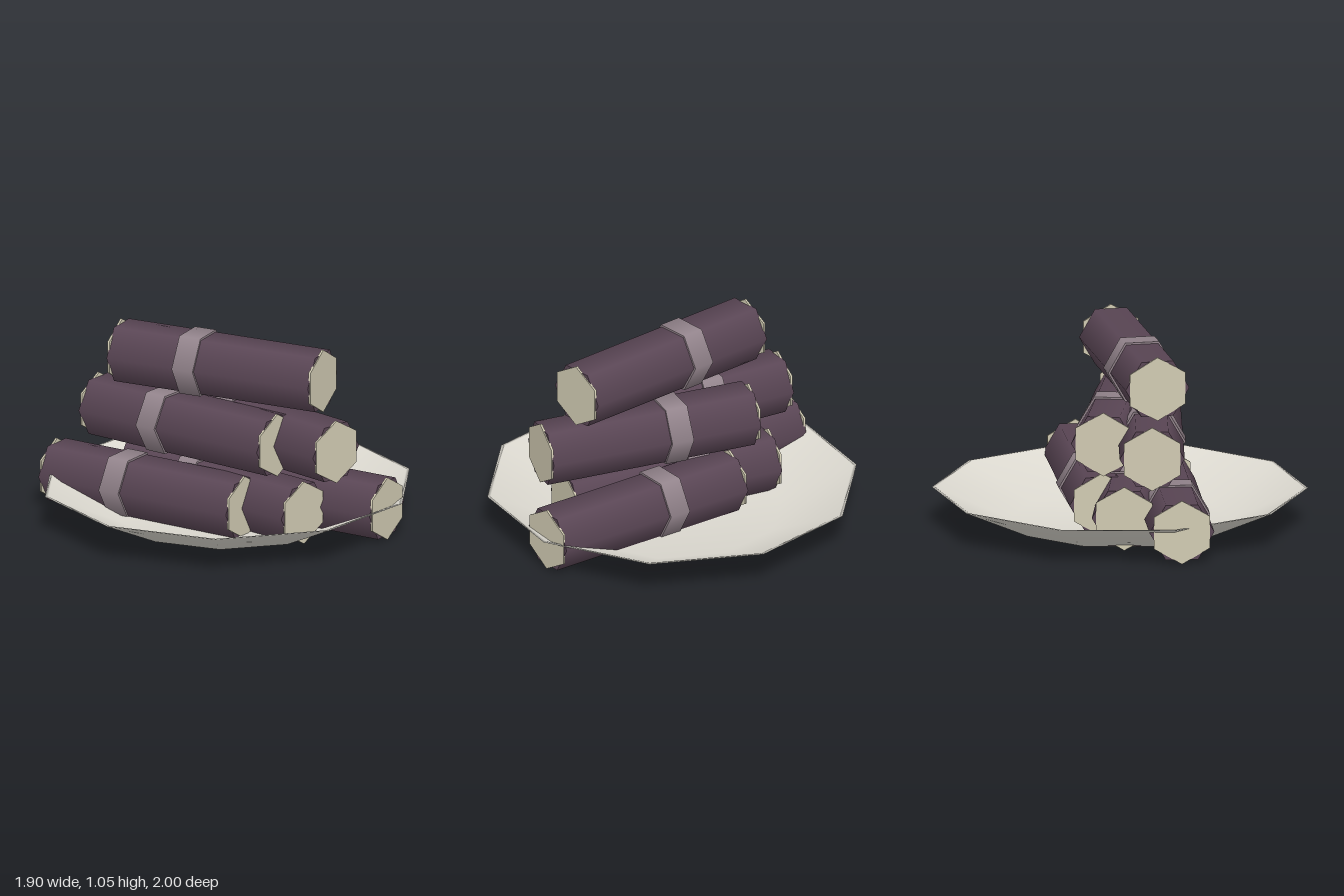
import * as THREE from 'three';

const LENGTH = 1.2;
const RADIUS = 0.173;

const wrapperMat = new THREE.MeshStandardMaterial({ color: 0x5a4655 });
const bandMat = new THREE.MeshStandardMaterial({ color: 0x93848c });
const fillingMat = new THREE.MeshStandardMaterial({ color: 0xd0cab2 });
const plateMat = new THREE.MeshStandardMaterial({ color: 0xdcd9d0, side: THREE.DoubleSide });

// Six-sided prism lying along x
function prism(name, radius, length, material, twist = 0) {
  const geometry = new THREE.CylinderGeometry(radius, radius, length, 6, 1, false, twist);
  geometry.rotateZ(Math.PI / 2);
  const mesh = new THREE.Mesh(geometry, material);
  mesh.name = name;
  return mesh;
}

// One wrapped roll: body, off-centre band and a turned hexagonal cap at each end
function createRoll(x, y, z, yaw) {
  const roll = new THREE.Group();
  roll.name = 'roll';
  roll.add(prism('wrapper', RADIUS, LENGTH, wrapperMat));

  const band = prism('band', 0.185, 0.125, bandMat);
  band.position.x = -0.144;
  roll.add(band);

  for (const side of [-1, 1]) {
    const cap = prism('endFilling', RADIUS, 0.012, fillingMat, Math.PI / 6);
    cap.position.x = side * LENGTH / 2;
    roll.add(cap);
  }
  roll.position.set(x, y, z);
  roll.rotation.y = yaw;
  return roll;
}

// Shallow ten-sided dish with a thin rim
function createPlate() {
  const profile = [
    [0, 0.012], [0.6, 0.018], [1, 0.2], [0.982, 0.2], [0.59, 0.03], [0, 0.024],
  ].map(([r, y]) => new THREE.Vector2(r, y));
  const plate = new THREE.Mesh(new THREE.LatheGeometry(profile, 10), plateMat);
  plate.name = 'plate';
  return plate;
}

export function createModel() {
  const model = new THREE.Group();
  model.name = 'plateOfRolls';
  model.add(createPlate());

  // Pyramid of rolls: x, y, z, yaw
  const rolls = [
    [-0.3, 0.178, 0.28, 0.1],
    [0, 0.178, 0.06, -0.05],
    [0.3, 0.178, -0.17, 0.13],
    [-0.14, 0.539, 0.162, 0.03],
    [0.18, 0.539, -0.025, -0.097],
    [0.025, 0.879, 0.075, 0.22],
  ];
  for (const r of rolls) model.add(createRoll(...r));
  return model;
}
